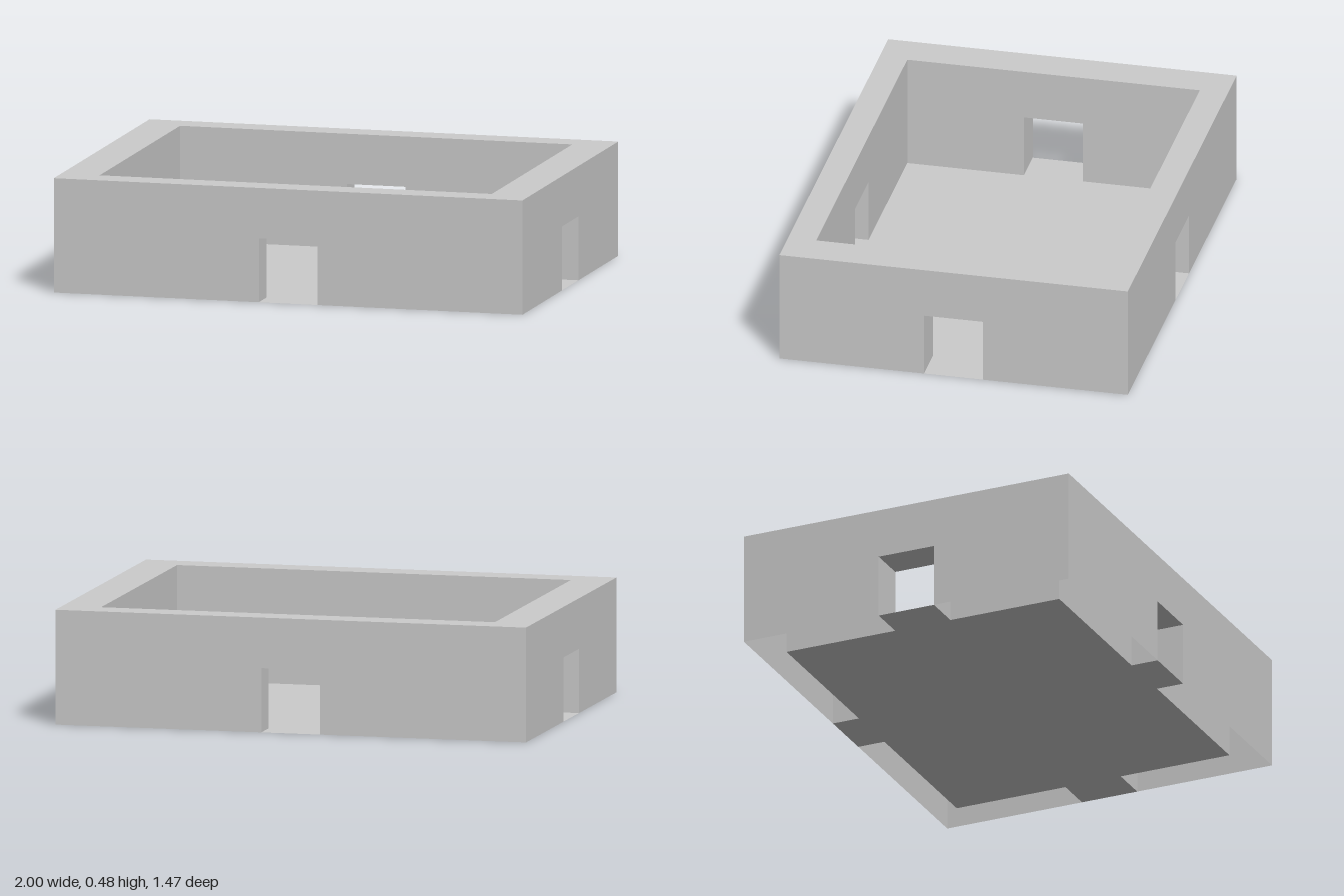
import * as THREE from 'three';

const OUT = { x: 1, z: 0.735 };     // outer half sizes
const INN = { x: 0.837, z: 0.617 }; // room half sizes
const HEIGHT = 0.477, DOOR = 0.125, DOOR_H = 0.267;

const material = new THREE.MeshStandardMaterial({
  color: 0xcccccc, flatShading: true, side: THREE.DoubleSide,
});

function polygon(points) {
  return new THREE.Shape(points.map(([x, y]) => new THREE.Vector2(x, y)));
}

function rectangle(hx, hy) {
  return polygon([[-hx, -hy], [hx, -hy], [hx, hy], [-hx, hy]]);
}

function addMesh(parent, name, geometry) {
  const mesh = new THREE.Mesh(geometry, material);
  mesh.name = name;
  parent.add(mesh);
  return mesh;
}

// Upright wall sheet with a doorway notch at its foot
function wallSheet(half) {
  return new THREE.ShapeGeometry(polygon([
    [-half, 0], [-DOOR, 0], [-DOOR, DOOR_H], [DOOR, DOOR_H],
    [DOOR, 0], [half, 0], [half, HEIGHT], [-half, HEIGHT],
  ]));
}

// One hollow wall, open underneath, with its doorway lining
function makeWall(name, half, dist, innerHalf, innerDist) {
  const wall = new THREE.Group();
  wall.name = name;
  const depth = dist - innerDist, mid = (dist + innerDist) / 2;

  addMesh(wall, 'outerFace', wallSheet(half).translate(0, 0, dist));
  addMesh(wall, 'innerFace', wallSheet(innerHalf).rotateY(Math.PI).translate(0, 0, innerDist));
  for (const s of [-1, 1]) {
    addMesh(wall, s > 0 ? 'leftDoorJamb' : 'rightDoorJamb',
      new THREE.PlaneGeometry(depth, DOOR_H)
        .rotateY(-s * Math.PI / 2).translate(s * DOOR, DOOR_H / 2, mid));
  }
  addMesh(wall, 'doorLintel',
    new THREE.PlaneGeometry(2 * DOOR, depth).rotateX(Math.PI / 2).translate(0, DOOR_H, mid));
  return wall;
}

export function createModel() {
  const model = new THREE.Group();
  model.name = 'walledRoom';

  // Four walls, turned round the room
  ['frontWall', 'leftWall', 'backWall', 'rightWall'].forEach((name, i) => {
    const [a, b] = i % 2 ? ['z', 'x'] : ['x', 'z'];
    const wall = makeWall(name, OUT[a], OUT[b], INN[a], INN[b]);
    wall.rotation.y = i * Math.PI / 2;
    model.add(wall);
  });

  // Flat rim closing the wall tops
  const rim = rectangle(OUT.x, OUT.z);
  rim.holes.push(rectangle(INN.x, INN.z));
  addMesh(model, 'wallTop',
    new THREE.ShapeGeometry(rim).rotateX(-Math.PI / 2).translate(0, HEIGHT, 0));

  // Floor sheet with a tongue running out through each doorway
  const { x, z } = INN, d = DOOR;
  const floor = polygon([
    [-x, -z], [-d, -z], [-d, -OUT.z], [d, -OUT.z], [d, -z], [x, -z],
    [x, -d], [OUT.x, -d], [OUT.x, d], [x, d], [x, z],
    [d, z], [d, OUT.z], [-d, OUT.z], [-d, z], [-x, z],
    [-x, d], [-OUT.x, d], [-OUT.x, -d], [-x, -d],
  ]);
  addMesh(model, 'floor', new THREE.ShapeGeometry(floor).rotateX(-Math.PI / 2));

  return model;
}
